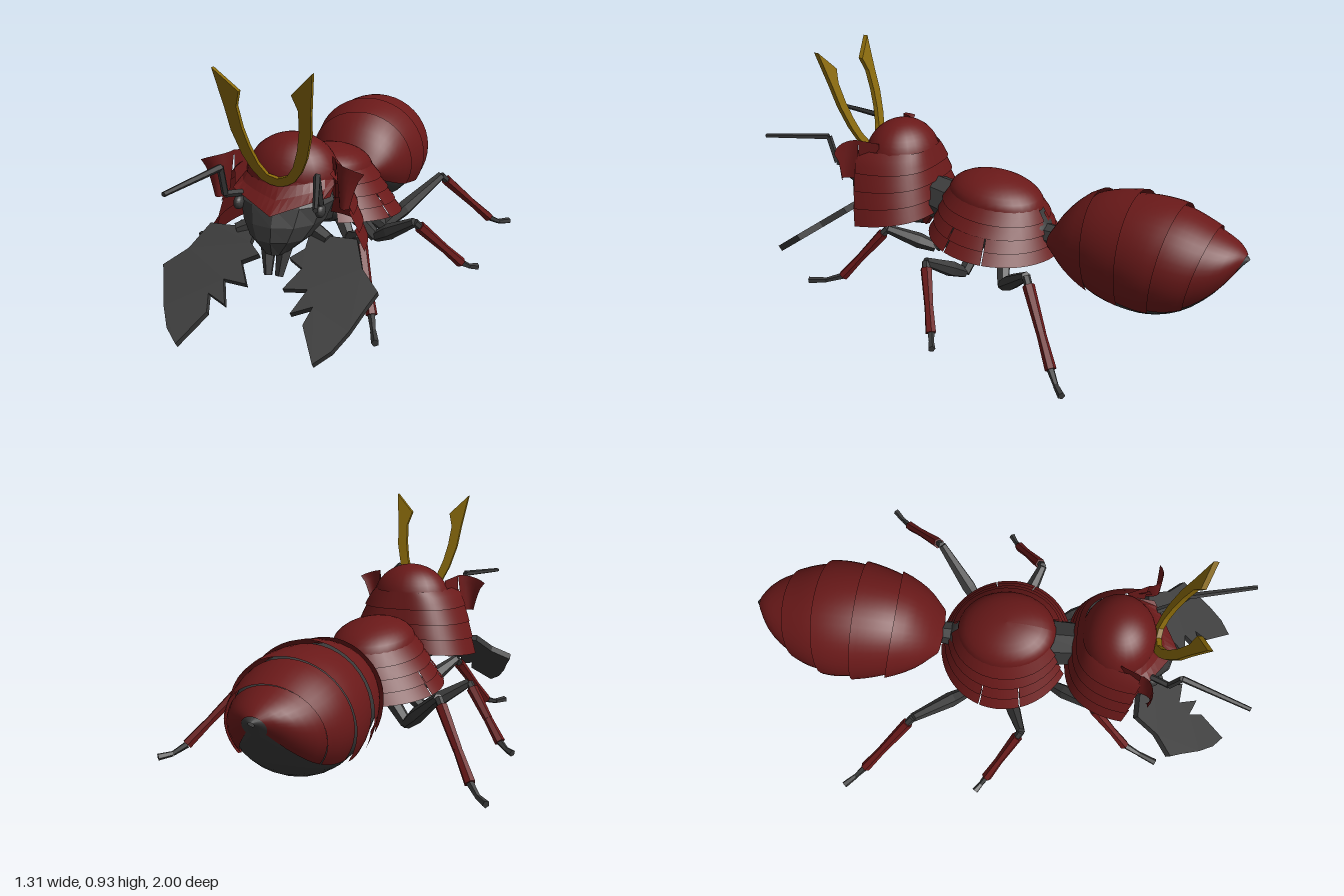
import * as THREE from 'three';

const paint = (color, flat = false) =>
  new THREE.MeshStandardMaterial({ color, flatShading: flat, side: THREE.DoubleSide });
const red = paint(0x6a1919), redFlat = paint(0x6a1919, true);
const dark = paint(0x393939), darkFlat = paint(0x393939, true);
const gold = paint(0x8a6a0a, true);
const V = (x, y, z) => new THREE.Vector3(x, y, z);
const lerp = THREE.MathUtils.lerp, rad = THREE.MathUtils.degToRad;

function add(parent, name, geometry, material) {
  const mesh = new THREE.Mesh(geometry, material);
  mesh.name = name;
  parent.add(mesh);
  return mesh;
}

// Surface from a rule f(u, v) -> [x, y, z], with u and v in 0..1
function surface(f, nu, nv) {
  const pos = [], idx = [];
  for (let i = 0; i <= nu; i++) for (let j = 0; j <= nv; j++) pos.push(...f(i / nu, j / nv));
  for (let i = 0; i < nu; i++) for (let j = 0; j < nv; j++) {
    const a = i * (nv + 1) + j, b = a + nv + 1;
    idx.push(a, a + 1, b, b, a + 1, b + 1);
  }
  const g = new THREE.BufferGeometry();
  g.setAttribute('position', new THREE.Float32BufferAttribute(pos, 3));
  g.setIndex(idx);
  g.computeVertexNormals();
  return g;
}

// Tapered rod between two points
function rod(parent, name, a, b, ra, rb, material, sides = 6) {
  const m = add(parent, name, new THREE.CylinderGeometry(rb, ra, a.distanceTo(b), sides), material);
  m.position.copy(a).add(b).multiplyScalar(0.5);
  m.quaternion.setFromUnitVectors(V(0, 1, 0), b.clone().sub(a).normalize());
  return m;
}

function ellipsoid(parent, name, c, r, material, ...args) {
  const m = add(parent, name, new THREE.SphereGeometry(1, 24, 12, ...args), material);
  m.position.set(...c);
  m.scale.set(...r);
  return m;
}

function plateShape(points, depth) {
  const s = new THREE.Shape(points.map(p => new THREE.Vector2(...p)));
  return new THREE.ExtrudeGeometry(s, { depth, bevelEnabled: false });
}

function buildAbdomen() {
  const g = new THREE.Group();
  g.name = 'abdomen';
  // Top edge, bottom edge and half width along the length
  const top = [[-.22, .31], [-.29, .41], [-.39, .485], [-.55, .512], [-.72, .495], [-.86, .437], [-.95, .392], [-1, .35]];
  const low = [[-.25, .24], [-.33, .16], [-.45, .08], [-.57, .05], [-.67, .055], [-.78, .1], [-.89, .2], [-.98, .33]];
  const wide = [.1, .165, .21, .235, .23, .185, .115, .01];
  const spine = new THREE.CatmullRomCurve3(top.map(([z, y], i) => V(wide[i], y, z)));
  const belly = new THREE.CatmullRomCurve3(low.map(([z, y]) => V(0, y, z)));
  const at = (t, a, s) => {
    const p = spine.getPoint(t), q = belly.getPoint(t), k = (1 - s * Math.cos(a)) / 2;
    return [p.x * s * Math.sin(a), lerp(p.y, q.y, k), Math.max(-1, lerp(p.z, q.z, k))];
  };
  add(g, 'abdomenCore', surface((u, v) => at(u, v * Math.PI * 2, .95), 20, 28), dark);
  const seams = [0, 2, 3, 4, 5, 6.7].map(i => i / 7);
  for (let i = 0; i < 5; i++) {
    const reach = 118 + 2.5 * i;
    add(g, 'abdomenPlate', surface((u, v) =>
      at(lerp(seams[i], seams[i + 1] + (i < 4 ? .015 : 0), u), rad(lerp(-reach, reach, v)), lerp(.99, 1.06, u)), 6, 28), red);
  }
  return g;
}

function buildThorax() {
  const g = new THREE.Group();
  g.name = 'thorax';
  ellipsoid(g, 'thoraxCore', [0, .29, .04], [.18, .1, .24], dark);
  rod(g, 'neck', V(0, .31, .18), V(0, .36, .42), .1, .085, darkFlat, 8);
  rod(g, 'waist', V(0, .27, -.12), V(0, .27, -.28), .055, .045, darkFlat, 8);
  const zc = .04, tilt = z => .11 * (z - zc);
  add(g, 'backDome', surface((u, v) => {
    const s = Math.sin(u * Math.PI / 2), a = v * Math.PI * 2, z = zc + .2 * s * Math.cos(a);
    return [.165 * s * Math.sin(a), .395 + .095 * Math.cos(u * Math.PI / 2) + tilt(z), z];
  }, 8, 32), red);
  // Overlapping side bands, the lower ones split into three
  for (let i = 0; i < 4; i++) {
    const spans = i < 2 ? [[22, 174]] : [[22, 70], [71, 106], [107, 174]];
    for (const side of [-1, 1]) for (const [a0, a1] of spans) {
      add(g, 'sideBand', surface((u, v) => {
        const a = rad(lerp(a0, a1, v)), t = (i + u) / 4;
        const z = zc + (lerp(.188, .252, t) + .022 * u) * Math.cos(a);
        return [side * (lerp(.15, .265, t) + .022 * u) * Math.sin(a), .422 - .177 * t - .017 * u + tilt(z), z];
      }, 2, 14), red);
    }
  }
  return g;
}

function buildHead() {
  const g = new THREE.Group();
  g.name = 'head';
  // Heart-shaped head: [y, half width, back z, front z]
  const rows = [[.27, .005, .62, .69], [.28, .045, .58, .715], [.33, .11, .5, .73], [.38, .148, .42, .72],
    [.44, .17, .4, .69], [.48, .15, .42, .64], [.5, .005, .5, .55]];
  add(g, 'skull', surface((u, v) => {
    const [y, w, b, f] = rows[Math.round(u * 6)], a = v * Math.PI * 2;
    return [w * Math.sin(a), y, (b + f) / 2 + (f - b) / 2 * Math.cos(a)];
  }, 6, 12), darkFlat);

  ellipsoid(g, 'helmetDome', [0, .5, .485], [.168, .153, .148], red, 0, Math.PI * 2, 0, Math.PI / 2);
  // Pointed brow peak
  add(g, 'brow', surface((u, v) => {
    const k = v * 2 - 1, c = 1 - Math.abs(k);
    return [k * lerp(.155, .178, u), lerp(.54, .475 - .05 * c, u),
      lerp(.485 + .14 * Math.sqrt(1 - k * k), .615 + .115 * c, u * u)];
  }, 3, 16), redFlat);
  // Tiered neck guard, open at the front
  for (let i = 0; i < 4; i++) {
    add(g, 'neckGuardTier', surface((u, v) => {
      const a = lerp(-1, 1, v) * Math.PI / 2, t = (i + u) / 4, c = 1 - Math.cos(a), s = Math.sin(a);
      return [(lerp(.17, .268, t ** .65) + .012 * u) * Math.sign(s) * Math.abs(s) ** .8,
        lerp(.55, .31, t) - .035 * t * c - .012 * u,
        lerp(.345, .3, t) - .012 * u + lerp(.25, .26, t) * c ** 1.2];
    }, 3, 32), red);
  }
  // Crescent crest, leaning forward with height
  const half = [[.03, .508], [.06, .525], [.09, .565], [.115, .62], [.14, .71], [.15, .8], [.17, .935],
    [.09, .855], [.107, .8], [.1, .72], [.085, .65], [.062, .585], [.035, .545]];
  const right = half.map(([x, y]) => [-x, y]).reverse();
  const crest = plateShape([[0, .502], ...half, [0, .533], ...right], .02);
  const p = crest.attributes.position;
  for (let i = 0; i < p.count; i++) p.setZ(i, p.getZ(i) + .628 + (p.getY(i) - .53) * .33);
  crest.computeVertexNormals();
  add(g, 'crest', crest, gold);
  return g;
}

// Parts of the head on the left side
function buildFace() {
  const g = new THREE.Group();
  g.name = 'faceSide';
  // Toothed jaw sloping down and forward
  const jaw = plateShape([[.1, .33], [.27, .33], [.315, .265], [.385, .22], [.36, .185], [.325, .13], [.285, .085],
    [.235, .055], [.168, .13], [.185, .17], [.115, .15], [.15, .205], [.065, .2], [.11, .25], [.055, .27], [.1, .295]], .034);
  const p = jaw.attributes.position;
  for (let i = 0; i < p.count; i++) {
    const y = p.getY(i), d = p.getZ(i) - .034;
    p.setXYZ(i, p.getX(i), y + d * .6, 1 - (y - .055) / .7 + d * .5);
  }
  jaw.computeVertexNormals();
  add(g, 'jaw', jaw, darkFlat);
  rod(g, 'jawJoint', V(.06, .35, .56), V(.17, .315, .61), .04, .025, darkFlat);
  rod(g, 'mouthFeeler', V(.03, .3, .66), V(.02, .2, .7), .03, .015, darkFlat, 5);
  ellipsoid(g, 'eye', [.148, .43, .635], [.018, .025, .028], darkFlat);
  // Antenna
  const path = [V(.14, .465, .63), V(.17, .48, .7), V(.17, .585, .735), V(.25, .57, 1)];
  for (let i = 0; i < 3; i++) rod(g, 'antenna', path[i], path[i + 1], .013, i === 2 ? .009 : .013, darkFlat, 5);
  // Turned-back ear plate curling out from the front edge of the neck guard
  add(g, 'earPlate', surface((u, v) => {
    const a = v * Math.PI * .75, w = lerp(.11, .04, u ** .7);
    return [lerp(.185, .205, u) + w * (1 - Math.cos(a)) / 1.7, lerp(.6, .44, u) - .035 * v * v * (1 - u),
      lerp(.575, .58, u) + .055 * Math.sin(a)];
  }, 5, 8), red);
  add(g, 'earRoot', surface((u, v) => [lerp(.15, .185, u), lerp(.585, .45, v) + .015 * u * (1 - v), lerp(.5, .577, u)], 1, 3), redFlat);
  return g;
}

// Leg through hip, low joint, knee, ankle and toe
function buildLeg(name, points) {
  const g = new THREE.Group();
  g.name = name;
  const [hip, low, knee, ankle, toe] = points.map(q => V(...q));
  rod(g, 'hip', hip, low, .035, .024, darkFlat);
  const swell = low.clone().lerp(knee, .35);
  rod(g, 'thigh', low, swell, .022, .032, darkFlat);
  rod(g, 'thigh', swell, knee, .032, .018, darkFlat);
  rod(g, 'shin', knee, ankle, .016, .011, darkFlat);
  const on = t => knee.clone().lerp(ankle, t);
  rod(g, 'shinGuard', on(.1), on(.62), .023, .018, redFlat);
  rod(g, 'shinGuard', on(.58), on(1), .017, .021, redFlat);
  const mid = ankle.clone().lerp(toe, .5).setY(.02);
  rod(g, 'foot', ankle, mid, .014, .01, darkFlat, 5);
  rod(g, 'toe', mid, toe, .011, .014, darkFlat, 5);
  return g;
}

export function createModel() {
  const model = new THREE.Group();
  model.name = 'armouredAnt';
  model.add(buildAbdomen(), buildThorax(), buildHead());
  for (const side of [1, -1]) {
    const half = new THREE.Group();
    half.name = side > 0 ? 'leftSide' : 'rightSide';
    half.add(
      buildFace(),
      buildLeg('frontLeg', [[.08, .25, .17], [.14, .18, .25], [.23, .26, .42], [.32, .045, .59], [.37, .014, .73]]),
      buildLeg('middleLeg', [[.08, .24, .07], [.2, .13, .08], [.37, .235, .15], [.535, .04, .03], [.595, .014, -.01]]),
      buildLeg('rearLeg', [[.07, .23, -.03], [.19, .11, -.09], [.385, .285, -.29], [.565, .05, -.48], [.645, .014, -.56]]));
    half.scale.x = side;
    model.add(half);
  }
  return model;
}
